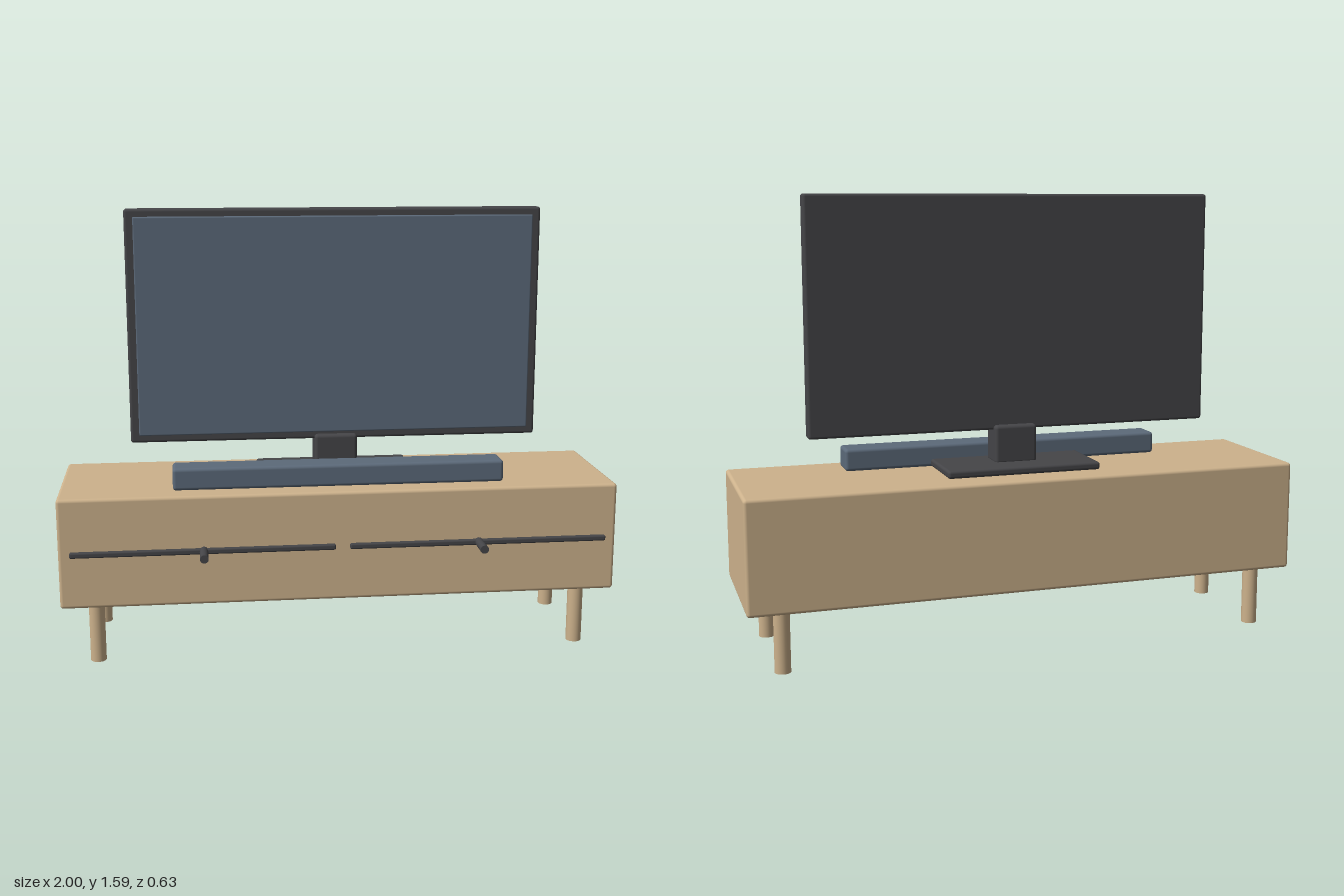
import * as THREE from 'three';
import { RoundedBoxGeometry } from 'three/addons/geometries/RoundedBoxGeometry.js';

export function createModel() {
  const model = new THREE.Group();
  model.name = 'televisionOnCabinet';

  const paint = (name, color) => {
    const material = new THREE.MeshStandardMaterial({ color });
    material.name = name;
    return material;
  };
  const wood = paint('lightWood', 0xcdb28c);
  const dark = paint('charcoal', 0x454548);
  const slate = paint('slateBlue', 0x5c6a7a);

  const add = (name, geometry, material, x, y, z) => {
    const mesh = new THREE.Mesh(geometry, material);
    mesh.name = name;
    mesh.position.set(x, y, z);
    model.add(mesh);
    return mesh;
  };
  // Rounded box given by its extents on each axis
  const block = (name, material, [x0, x1], [y0, y1], [z0, z1], r) =>
    add(name, new RoundedBoxGeometry(x1 - x0, y1 - y0, z1 - z0, 3, r), material,
      (x0 + x1) / 2, (y0 + y1) / 2, (z0 + z1) / 2);

  // Cabinet
  block('cabinet', wood, [-1, 1], [0.217, 0.615], [-0.315, 0.215], 0.012);

  for (const side of [-1, 1]) {
    const label = side > 0 ? 'left' : 'right';

    // Legs
    for (const [end, z] of [['Front', 0.15], ['Back', -0.248]]) {
      add(label + end + 'Leg', new THREE.CylinderGeometry(0.028, 0.028, 0.225, 24), wood,
        side * 0.878, 0.1125, z);
    }

    // Drawer rail and its round knob
    const rail = block(label + 'DrawerRail', dark, [-0.467, 0.467], [0.406, 0.426], [0.205, 0.23], 0.006);
    rail.position.x = side * 0.493;
    const knob = add(label + 'DrawerKnob', new THREE.CylinderGeometry(0.015, 0.015, 0.105, 20), dark,
      side * 0.493, 0.416, 0.2625);
    knob.rotation.x = Math.PI / 2;
  }

  // Soundbar
  block('soundbar', slate, [-0.597, 0.597], [0.615, 0.695], [0.03, 0.138], 0.012);

  // Television stand
  block('standBase', dark, [-0.283, 0.283], [0.615, 0.643], [-0.21, 0.1], 0.01);
  block('standNeck', dark, [-0.078, 0.078], [0.635, 0.775], [-0.104, 0.003], 0.012);

  // Television
  block('televisionBody', dark, [-0.745, 0.745], [0.757, 1.594], [-0.078, -0.019], 0.01);
  block('screen', slate, [-0.714, 0.714], [0.785, 1.567], [-0.025, -0.005], 0.005);

  return model;
}
